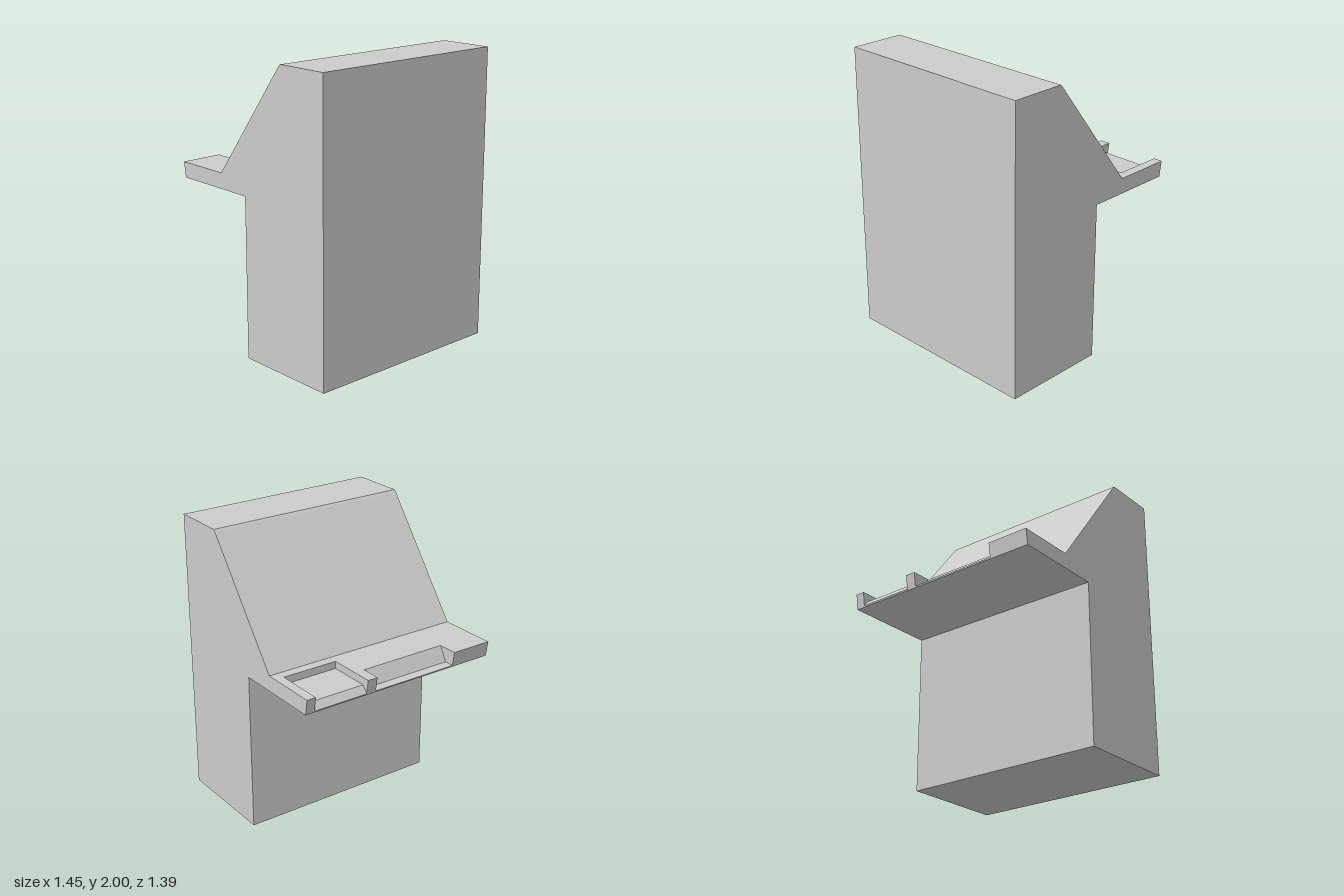
import * as THREE from 'three';

const material = new THREE.MeshStandardMaterial({ color: 0xcccccc, flatShading: true });

// Extrudes a side profile of [z, y] points across the width from x0 to x1
function slab(name, profile, x0, x1) {
  const shape = new THREE.Shape(profile.map(([z, y]) => new THREE.Vector2(z, y)));
  const geometry = new THREE.ExtrudeGeometry(shape, { depth: x1 - x0, bevelEnabled: false });
  geometry.rotateY(-Math.PI / 2);
  geometry.translate(x1, 0, 0);
  const mesh = new THREE.Mesh(geometry, material);
  mesh.name = name;
  return mesh;
}

export function createModel() {
  const group = new THREE.Group();
  group.name = 'console';

  const half = 0.723;
  const top = 1.217, under = 1.11; // shelf heights
  const root = -0.355;             // where the shelf's cut-outs begin
  const low = 1.12, lowZ = -0.683; // thin lip left below the cut-outs
  const underZ = -0.68;

  // Cabinet with sloped back panel and the uncut part of the shelf
  group.add(slab('cabinet', [
    [0.697, 0], [0.697, 2], [0.316, 2], [0.302, 1.986], [-0.288, top],
    [root, top], [root, under], [-0.043, under], [-0.043, 0],
  ], -half, half));

  // Full-height shelf sections between the cut-outs
  const full = [[root, under], [root, top], [-0.697, top], [underZ, under]];
  group.add(slab('shelfEnd', full, -half, -0.43));
  group.add(slab('shelfDivider', full, 0.195, 0.267));
  group.add(slab('shelfRim', full, 0.658, half));

  // Wide notch with a sloped wall down to a thin lip
  group.add(slab('shelfNotch', [
    [root, under], [root, top], [-0.56, top], [-0.615, low], [lowZ, low], [underZ, under],
  ], -0.43, 0.195));

  // Shallow tray with a bevelled open edge
  group.add(slab('shelfTray', [
    [root, under], [root, 1.167], [-0.645, 1.167], [lowZ, low], [underZ, under],
  ], 0.267, 0.658));

  return group;
}
